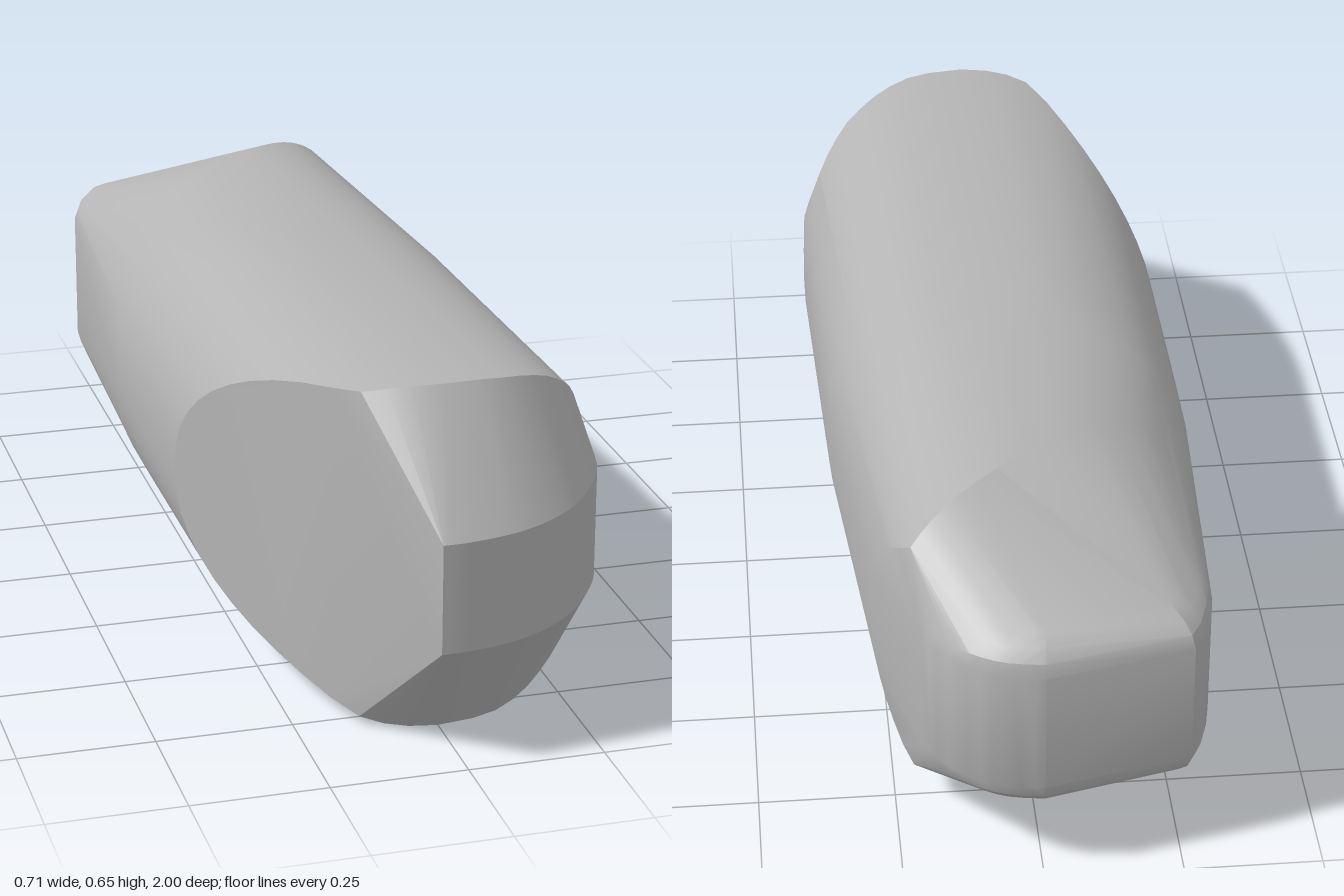
import * as THREE from 'three';
import { ConvexGeometry } from 'three/addons/geometries/ConvexGeometry.js';
import { toCreasedNormals } from 'three/addons/utils/BufferGeometryUtils.js';

const MID = 0.328; // height of the horizontal symmetry plane
const { lerp } = THREE.MathUtils;

// Piecewise linear lookup in a list of [x, z] pairs
function along(list, x) {
  if (x <= list[0][0]) return list[0][1];
  for (let i = 1; i < list.length; i++) {
    const [x0, z0] = list[i - 1], [x1, z1] = list[i];
    if (x <= x1) return lerp(z0, z1, (x - x0) / (x1 - x0));
  }
  return list[list.length - 1][1];
}

// Rounded body section: rounder on the right (-x), squarer on the left (+x)
function section(points, right, left, half, zAt) {
  const n = 56;
  for (let i = 0; i < n; i++) {
    const a = (i / n) * Math.PI * 2, c = Math.cos(a), s = Math.sin(a);
    const p = 2 / (c > 0 ? 2.65 : 2.3);
    const x = (c > 0 ? left : right) * Math.pow(Math.abs(c), p);
    const y = Math.sign(s) * half * Math.pow(Math.abs(s), p);
    points.push(new THREE.Vector3(x, MID + y, zAt(x)));
  }
}

// Outline of an end face, mirrored above and below the middle
function rim(points, outline, half) {
  for (const [x, z] of outline)
    for (const side of [-1, 1]) points.push(new THREE.Vector3(x, MID + side * half, z));
}

export function createModel() {
  const grey = new THREE.MeshStandardMaterial({ color: 0xb4b4b4 });
  grey.name = 'plain grey';

  const points = [];

  // Slightly tapering body, cut obliquely at the front right
  const frontEdge = [[-0.353, 0.29], [-0.145, 0.775], [-0.08, 0.81], [0, 0.82], [0.1, 0.81],
    [0.17, 0.775], [0.25, 0.71], [0.3, 0.64], [0.352, 0.55]];
  const backEdge = [[-0.2, -0.45], [0, -0.6], [0.22, -0.77], [0.28, -0.61]];
  section(points, -0.353, 0.352, 0.326, (x) => along(frontEdge, x));
  section(points, -0.355, 0.331, 0.322, () => -0.05);
  section(points, -0.355, 0.317, 0.32, () => -0.2);
  section(points, -0.339, 0.28, 0.316, (x) => along(backEdge, x));

  // Front band between the two bevels
  const nose = new THREE.SplineCurve([[-0.05, 0.995], [0, 0.993], [0.08, 0.977], [0.15, 0.945],
    [0.22, 0.89], [0.28, 0.81], [0.32, 0.73], [0.345, 0.62]].map((p) => new THREE.Vector2(...p)));
  rim(points, nose.getPoints(24).map((p) => [p.x, p.y]), 0.102);

  // Back band with softly rounded upper and lower edges
  const tail = new THREE.SplineCurve([[0, -1], [0.08, -0.985], [0.15, -0.94],
    [0.2, -0.87], [0.228, -0.77]].map((p) => new THREE.Vector2(...p)));
  const band = [[-0.313, -0.8], [-0.303, -0.85], [-0.285, -0.905], [-0.265, -0.94],
    ...tail.getPoints(14).map((p) => [p.x, p.y])];
  for (const [inset, half] of [[0, 0.12], [0.008, 0.145], [0.025, 0.165], [0.05, 0.18]])
    rim(points, band.map(([x, z]) => [lerp(x, -0.02, inset * 3), z + inset * (z < -0.8 ? 1 : 0.5)]), half);

  const geometry = toCreasedNormals(new ConvexGeometry(points), 0.36);
  const body = new THREE.Mesh(geometry, grey);
  body.name = 'body';

  const model = new THREE.Group();
  model.name = 'bevelledBlock';
  model.add(body);
  return model;
}
